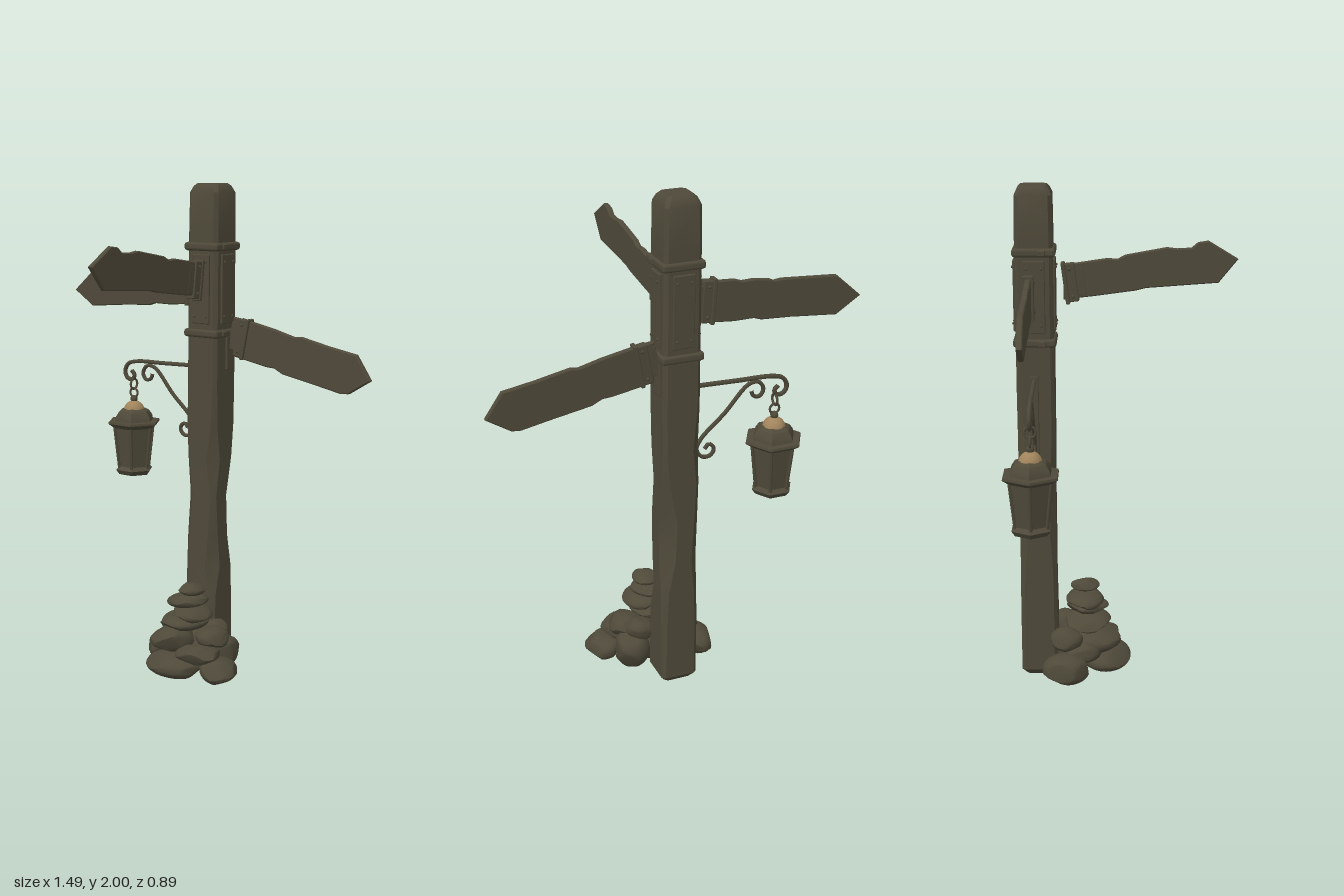
import * as THREE from 'three';
import { toCreasedNormals } from 'three/addons/utils/BufferGeometryUtils.js';
import { RoundedBoxGeometry } from 'three/addons/geometries/RoundedBoxGeometry.js';

const PZ = -0.34; // z of the post axis

export function createModel() {
  const model = new THREE.Group();
  model.name = 'signpost';
  const olive = new THREE.MeshStandardMaterial({ color: 0x4e4939 });
  olive.name = 'weathered olive';
  const tan = new THREE.MeshStandardMaterial({ color: 0xa0845c });
  tan.name = 'warm tan';

  const add = (name, geo, x = 0, y = 0, z = 0, parent = model, mat = olive) => {
    const mesh = new THREE.Mesh(geo, mat);
    mesh.name = name;
    mesh.position.set(x, y, z);
    parent.add(mesh);
    return mesh;
  };
  const box = (w, h, d, r = 0.004) => new RoundedBoxGeometry(w, h, d, 1, r);
  const tube = (pts, z, r) => new THREE.TubeGeometry(
    new THREE.CatmullRomCurve3(pts.map(([x, y]) => new THREE.Vector3(x, y, z))), 60, r, 6);

  add('post', postGeometry(), 0, 0, PZ);

  // Iron bands, face plates and their bolts
  for (const y of [1.4, 1.75]) {
    add('band', box(0.168, 0.034, 0.168, 0.012), 0.003, y, PZ);
    for (const s of [-1, 1]) add('bandLug', box(0.018, 0.022, 0.03), s * 0.085, y, PZ + 0.03);
  }
  for (let i = 0; i < 4; i++) {
    const side = new THREE.Group();
    side.name = 'facePlate';
    side.position.set(0.003, 0, PZ);
    side.rotation.y = i * Math.PI / 2;
    model.add(side);
    add('plate', box(0.085, 0.28, 0.012), 0, 1.58, 0.076, side);
    for (const y of [1.47, 1.69]) for (const x of [-0.028, 0.028])
      add('bolt', new THREE.SphereGeometry(0.006, 6, 4), x, y, 0.083, side);
  }
  add('lowerPlate', box(0.012, 0.14, 0.05), 0.079, 1.32, PZ - 0.02);

  // Arrow boards: outline runs outward from the post, clamp near its root
  function arrowBoard(name, outline, clamp, pos, turn) {
    const g = new THREE.Group();
    g.name = name;
    g.position.set(...pos);
    g.rotation.y = turn;
    model.add(g);
    const geo = new THREE.ExtrudeGeometry(
      new THREE.Shape(outline.map(p => new THREE.Vector2(...p))),
      { depth: 0.014, bevelEnabled: true, bevelThickness: 0.004, bevelSize: 0.004, bevelOffset: -0.004, bevelSegments: 1 });
    add('board', geo.translate(0, 0, -0.007), 0, 0, 0, g);
    const [u, y, h, tilt] = clamp, dir = Math.sign(u);
    const c = new THREE.Group();
    c.name = 'boardClamp';
    c.position.set(u, y, 0);
    c.rotation.z = tilt;
    g.add(c);
    add('strap', box(0.045, h, 0.036), 0, 0, 0, c);
    add('strapLip', box(0.016, h + 0.014, 0.044), dir * 0.022, 0, 0, c);
    add('bracket', box(0.04, h * 0.75, 0.024), -dir * 0.035, 0, 0, c);
    for (const s of [-1, 1]) for (const f of [-1, 1])
      add('bolt', new THREE.SphereGeometry(0.007, 6, 4), 0, s * h * 0.36, f * 0.019, c);
  }
  arrowBoard('rightArrowBoard', [[-0.745, 1.53], [-0.645, 1.465], [-0.45, 1.482], [-0.33, 1.488], [-0.3, 1.498],
    [-0.22, 1.497], [-0.09, 1.508], [-0.09, 1.665], [-0.22, 1.658], [-0.25, 1.648], [-0.3, 1.65], [-0.36, 1.642],
    [-0.38, 1.633], [-0.41, 1.637], [-0.64, 1.622]],
  [-0.112, 1.588, 0.162, 0.06], [0, 0, -0.358], 0);
  arrowBoard('leftArrowBoard', [[0.1, 1.305], [0.26, 1.275], [0.3, 1.272], [0.34, 1.252], [0.5, 1.222], [0.61, 1.2],
    [0.645, 1.203], [0.74, 1.262], [0.675, 1.358], [0.55, 1.38], [0.42, 1.408], [0.39, 1.404], [0.3, 1.428],
    [0.17, 1.455], [0.1, 1.465]],
  [0.138, 1.382, 0.155, -0.19], [0, 0, -0.365], 0);
  arrowBoard('frontArrowBoard', [[-0.23, 1.555], [-0.1, 1.57], [0.05, 1.59], [0.09, 1.6], [0.37, 1.62], [0.445, 1.712],
    [0.33, 1.782], [0.29, 1.776], [0.265, 1.755], [0.21, 1.752], [0.17, 1.757], [0.01, 1.728], [-0.02, 1.712],
    [-0.06, 1.715], [-0.23, 1.69]],
  [-0.2, 1.622, 0.15, 0.13], [0.02, 0, 0], -Math.PI / 2);

  // Scrolled lantern bracket
  const lx = -0.412, lz = -0.345;
  const hanger = new THREE.Group();
  hanger.name = 'lanternBracket';
  model.add(hanger);
  add('wallPlate', box(0.012, 0.36, 0.035), -0.074, 1.09, lz, hanger);
  add('arm', tube([[-0.07, 1.252], [-0.25, 1.247], [-0.4, 1.242], [-0.443, 1.228], [-0.46, 1.195], [-0.447, 1.167],
    [-0.42, 1.163], [-0.408, 1.183], [-0.424, 1.2]], lz, 0.009), 0, 0, 0, hanger);
  add('brace', tube([[-0.31, 1.197], [-0.318, 1.175], [-0.345, 1.168], [-0.361, 1.195], [-0.342, 1.227], [-0.3, 1.225],
    [-0.2, 1.12], [-0.105, 1.03], [-0.087, 0.99], [-0.108, 0.955], [-0.143, 0.953], [-0.16, 0.98], [-0.138, 1.003],
    [-0.12, 0.985]], lz, 0.008), 0, 0, 0, hanger);

  // Hanging lantern
  const lantern = new THREE.Group();
  lantern.name = 'lantern';
  lantern.position.set(lx, 0, lz);
  model.add(lantern);
  add('upperLink', new THREE.TorusGeometry(0.022, 0.005, 6, 16), 0, 1.143, 0, lantern).rotation.y = Math.PI / 2;
  add('lowerLink', new THREE.TorusGeometry(0.02, 0.005, 6, 16), 0, 1.105, 0, lantern);
  add('finial', new THREE.SphereGeometry(0.016, 10, 8), 0, 1.078, 0, lantern);
  add('cap', new THREE.SphereGeometry(0.046, 16, 6, 0, Math.PI * 2, 0, Math.PI / 2), 0, 1.025, 0, lantern, tan);
  const hex = pts => toCreasedNormals(new THREE.LatheGeometry(
    pts.map(p => new THREE.Vector2(...p)), 6, Math.PI / 2), 0.4);
  add('lanternBase', hex([[0, 0.75], [0.07, 0.75], [0.084, 0.77], [0.068, 0.785], [0, 0.785]]), 0, 0, 0, lantern);
  add('lanternBody', hex([[0, 0.78], [0.066, 0.78], [0.088, 0.96], [0, 0.96]]), 0, 0, 0, lantern);
  add('lanternRoof', hex([[0, 0.955], [0.09, 0.955], [0.119, 0.975], [0.117, 0.984], [0.088, 0.985], [0.084, 1.005],
    [0.068, 1.027], [0.045, 1.038], [0, 1.038]]), 0, 0, 0, lantern);
  for (let i = 0; i < 6; i++) {
    const a = i * Math.PI / 3;
    const curve = new THREE.LineCurve3(
      new THREE.Vector3(Math.cos(a) * 0.068, 0.775, Math.sin(a) * 0.068),
      new THREE.Vector3(Math.cos(a) * 0.09, 0.965, Math.sin(a) * 0.09));
    add('cornerBar', new THREE.TubeGeometry(curve, 1, 0.007, 5), 0, 0, 0, lantern);
  }

  // Cairn: x, y, z, then half sizes and tilt
  const cairn = new THREE.Group();
  cairn.name = 'cairn';
  model.add(cairn);
  [
    [0.045, 0.355, -0.155, 0.053, 0.024, 0.058, -0.05], [0.025, 0.305, -0.155, 0.088, 0.03, 0.076, 0.15],
    [0.055, 0.258, -0.145, 0.08, 0.032, 0.085, -0.12], [0.01, 0.212, -0.15, 0.1, 0.034, 0.1, 0.08],
    [0.14, 0.165, -0.17, 0.068, 0.042, 0.075, -0.2], [-0.015, 0.145, -0.11, 0.09, 0.052, 0.1, 0.1],
    [-0.09, 0.17, -0.23, 0.06, 0.045, 0.065, 0.2], [0.12, 0.105, -0.1, 0.095, 0.04, 0.09, 0.1],
    [-0.08, 0.11, -0.17, 0.07, 0.045, 0.08, -0.2], [0.025, 0.05, -0.07, 0.13, 0.05, 0.1, 0],
    [-0.14, 0.06, -0.23, 0.075, 0.06, 0.095, 0.1], [0.215, 0.05, -0.115, 0.075, 0.052, 0.085, -0.25],
    [0.14, 0.085, -0.24, 0.075, 0.08, 0.07, 0], [0.03, 0.09, -0.2, 0.13, 0.085, 0.08, 0],
    [0.1, 0.17, -0.24, 0.06, 0.045, 0.05, 0.2],
  ].forEach(([x, y, z, sx, sy, sz, tilt], i) => {
    const stone = add('stone', stoneGeometry(i + 1, sx, sy, sz), x, y, z, cairn);
    stone.rotation.z = tilt;
  });
  return model;
}

// Square timber with worn, unevenly chamfered corners
function postGeometry() {
  // y, x shift, half width, chamfer of the four corners from front left round by front right
  const levels = [
    [0, 0, 0.055, 0.012, 0.012, 0.012, 0.012], [0.025, 0, 0.074, 0.012, 0.014, 0.012, 0.014],
    [0.3, 0, 0.074, 0.016, 0.014, 0.014, 0.02], [0.42, 0, 0.073, 0.045, 0.014, 0.018, 0.024],
    [0.55, 0, 0.073, 0.03, 0.02, 0.03, 0.05], [0.72, -0.001, 0.072, 0.018, 0.035, 0.02, 0.055],
    [0.88, 0, 0.073, 0.04, 0.02, 0.014, 0.025], [1.02, 0, 0.074, 0.02, 0.014, 0.03, 0.014],
    [1.2, 0.002, 0.074, 0.014, 0.014, 0.014, 0.014], [1.8, 0.003, 0.073, 0.014, 0.014, 0.014, 0.014],
    [1.965, 0.003, 0.071, 0.014, 0.014, 0.014, 0.014], [1.99, 0.003, 0.06, 0.014, 0.014, 0.014, 0.014],
    [2, 0.003, 0.05, 0.014, 0.014, 0.014, 0.014],
  ];
  const pos = [], idx = [], last = levels.length - 1;
  for (const [y, cx, h, a, b, c, d] of levels) {
    const ring = [[h, h - a], [h - a, h], [b - h, h], [-h, h - b], [-h, c - h], [c - h, -h], [h - d, -h], [h, d - h]];
    for (const [x, z] of ring) pos.push(cx + x, y, z);
  }
  for (let j = 0; j < last; j++) for (let i = 0; i < 8; i++) {
    const A = j * 8 + i, B = j * 8 + (i + 1) % 8;
    idx.push(A, A + 8, B, B, A + 8, B + 8);
  }
  for (let i = 1; i < 7; i++) idx.push(0, i, i + 1, last * 8, last * 8 + i + 1, last * 8 + i);
  const geo = new THREE.BufferGeometry();
  geo.setAttribute('position', new THREE.Float32BufferAttribute(pos, 3));
  geo.setIndex(idx);
  return toCreasedNormals(geo, 0.45);
}

// Rounded stone, its sphere cut back by a few seeded planes
function stoneGeometry(seed, sx, sy, sz) {
  let s = seed * 7919;
  const rand = () => (s = (s * 16807) % 2147483647) / 2147483647;
  const cuts = Array.from({ length: 9 }, () => [
    new THREE.Vector3(rand() - 0.5, rand() - 0.5, rand() - 0.5).normalize(), 0.78 + rand() * 0.17]);
  const geo = new THREE.IcosahedronGeometry(1.04, 4);
  const p = geo.attributes.position, v = new THREE.Vector3();
  for (let i = 0; i < p.count; i++) {
    v.fromBufferAttribute(p, i);
    for (const [n, d] of cuts) {
      const over = v.dot(n) - d;
      if (over > 0) v.addScaledVector(n, -over * 0.85);
    }
    p.setXYZ(i, v.x * sx, v.y * sy, v.z * sz);
  }
  return toCreasedNormals(geo, 0.6);
}
